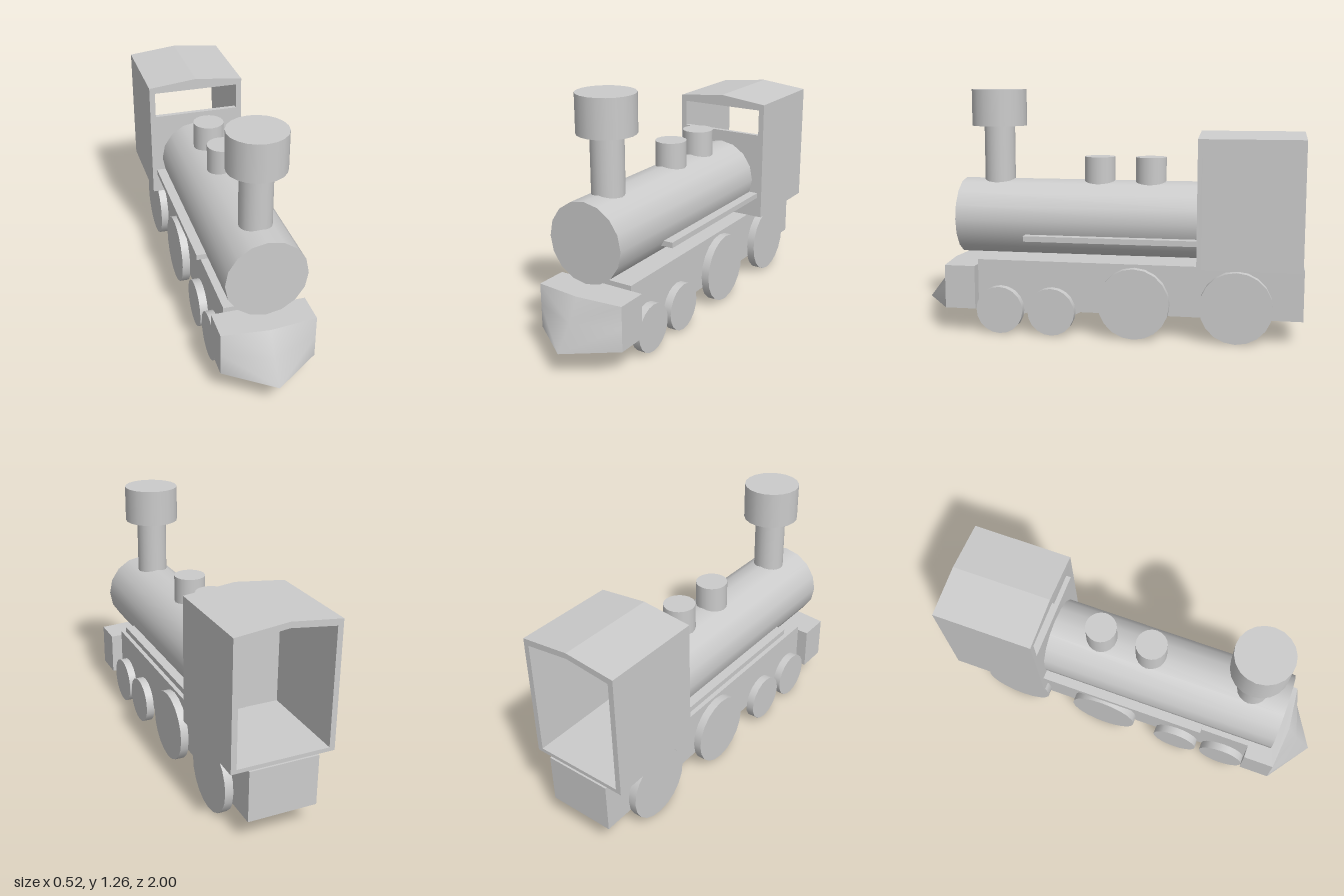
import * as THREE from 'three';

const grey = new THREE.MeshStandardMaterial({ color: 0xcccccc });
const greyDouble = new THREE.MeshStandardMaterial({ color: 0xcccccc, side: THREE.DoubleSide });

function add(parent, name, geometry, x, y, z, material = grey) {
  const mesh = new THREE.Mesh(geometry, material);
  mesh.name = name;
  mesh.position.set(x, y, z);
  parent.add(mesh);
  return mesh;
}

// Box given by its minimum and maximum corners
function block(parent, name, [x0, y0, z0], [x1, y1, z1]) {
  return add(parent, name, new THREE.BoxGeometry(x1 - x0, y1 - y0, z1 - z0),
    (x0 + x1) / 2, (y0 + y1) / 2, (z0 + z1) / 2);
}

// Upright cylinder on the centre line, from y0 to y1
function upright(parent, name, radius, y0, y1, z) {
  return add(parent, name, new THREE.CylinderGeometry(radius, radius, y1 - y0, 20), 0, (y0 + y1) / 2, z);
}

// Outline with a shallow gable top
function gable(Type, halfWidth, base, eave, ridge) {
  return new Type([
    [-halfWidth, base], [halfWidth, base], [halfWidth, eave], [0, ridge], [-halfWidth, eave],
  ].map(([x, y]) => new THREE.Vector2(x, y)));
}

function slab(shape, depth) {
  return new THREE.ExtrudeGeometry(shape, { depth, bevelEnabled: false });
}

// Nose plate: nearly straight at the top, swept to a point at the bottom
function noseGeometry() {
  const half = 0.235, back = 0.83;
  const rows = [[0.36, 0.853], [0.25, 0.912], [0.135, 1.0]];
  const skin = [], index = [];
  for (const [y, tip] of rows) skin.push(-half, y, back, 0, y, tip, half, y, back);
  for (let r = 0; r < rows.length - 1; r++) {
    for (let c = 0; c < 2; c++) {
      const a = r * 3 + c, b = a + 1, d = a + 3, e = a + 4;
      // Mirror the diagonals about the centre line
      if (c === 0) index.push(a, d, e, a, e, b);
      else index.push(a, d, b, b, d, e);
    }
  }
  // Separate corners for the flat top and underside
  const n = skin.length / 3;
  skin.push(...skin.slice(0, 9), ...skin.slice(-9));
  index.push(n, n + 1, n + 2, n + 3, n + 5, n + 4);
  const geometry = new THREE.BufferGeometry();
  geometry.setAttribute('position', new THREE.Float32BufferAttribute(skin, 3));
  geometry.setIndex(index);
  geometry.computeVertexNormals();
  return geometry;
}

export function createModel() {
  const model = new THREE.Group();
  model.name = 'steamLocomotive';

  // Chassis and front
  block(model, 'chassis', [-0.175, 0.125, -0.997], [0.175, 0.385, 0.67]);
  block(model, 'frontBeam', [-0.235, 0.135, 0.67], [0.235, 0.36, 0.83]);
  add(model, 'nosePlate', noseGeometry(), 0, 0, 0, greyDouble);

  // Boiler, chimney and domes
  const boiler = new THREE.CylinderGeometry(0.2, 0.2, 1.28, 16).rotateX(Math.PI / 2);
  add(model, 'boiler', boiler, 0, 0.595, 0.14);
  upright(model, 'chimneyPipe', 0.08, 0.75, 1.08, 0.592);
  upright(model, 'chimneyCap', 0.143, 1.073, 1.262, 0.592);
  upright(model, 'frontDome', 0.08, 0.75, 0.917, 0.053);
  upright(model, 'rearDome', 0.08, 0.75, 0.917, -0.215);

  // Wheels and running boards on both sides
  const wheels = [
    ['frontSmallWheel', 0.123, 0.547], ['rearSmallWheel', 0.123, 0.274],
    ['frontLargeWheel', 0.182, -0.153], ['rearLargeWheel', 0.182, -0.667],
  ];
  for (const side of [1, -1]) {
    const prefix = side > 0 ? 'left' : 'right';
    for (const [name, radius, z] of wheels) {
      const disc = new THREE.CylinderGeometry(radius, radius, 0.045, 20).rotateZ(Math.PI / 2);
      add(model, `${prefix} ${name}`, disc, side * 0.194, radius + 0.005, z);
    }
    add(model, `${prefix} runningBoard`, new THREE.BoxGeometry(0.085, 0.028, 0.89), side * 0.1925, 0.51, -0.035);
  }

  // Cab: open-backed shell closed at the front by a wall with a window
  const cab = new THREE.Group();
  cab.name = 'cab';
  const shell = gable(THREE.Shape, 0.26, 0.385, 1.027, 1.055);
  shell.holes.push(gable(THREE.Path, 0.232, 0.405, 0.998, 1.026));
  add(cab, 'cabShell', slab(shell, 0.49), 0, 0, -0.987);

  const wall = gable(THREE.Shape, 0.26, 0.385, 1.027, 1.055);
  wall.holes.push(new THREE.Path([
    [-0.23, 0.855], [0.23, 0.855], [0.23, 0.995], [-0.23, 0.995],
  ].map(([x, y]) => new THREE.Vector2(x, y))));
  add(cab, 'cabFrontWall', slab(wall, 0.025), 0, 0, -0.497);
  model.add(cab);

  return model;
}
